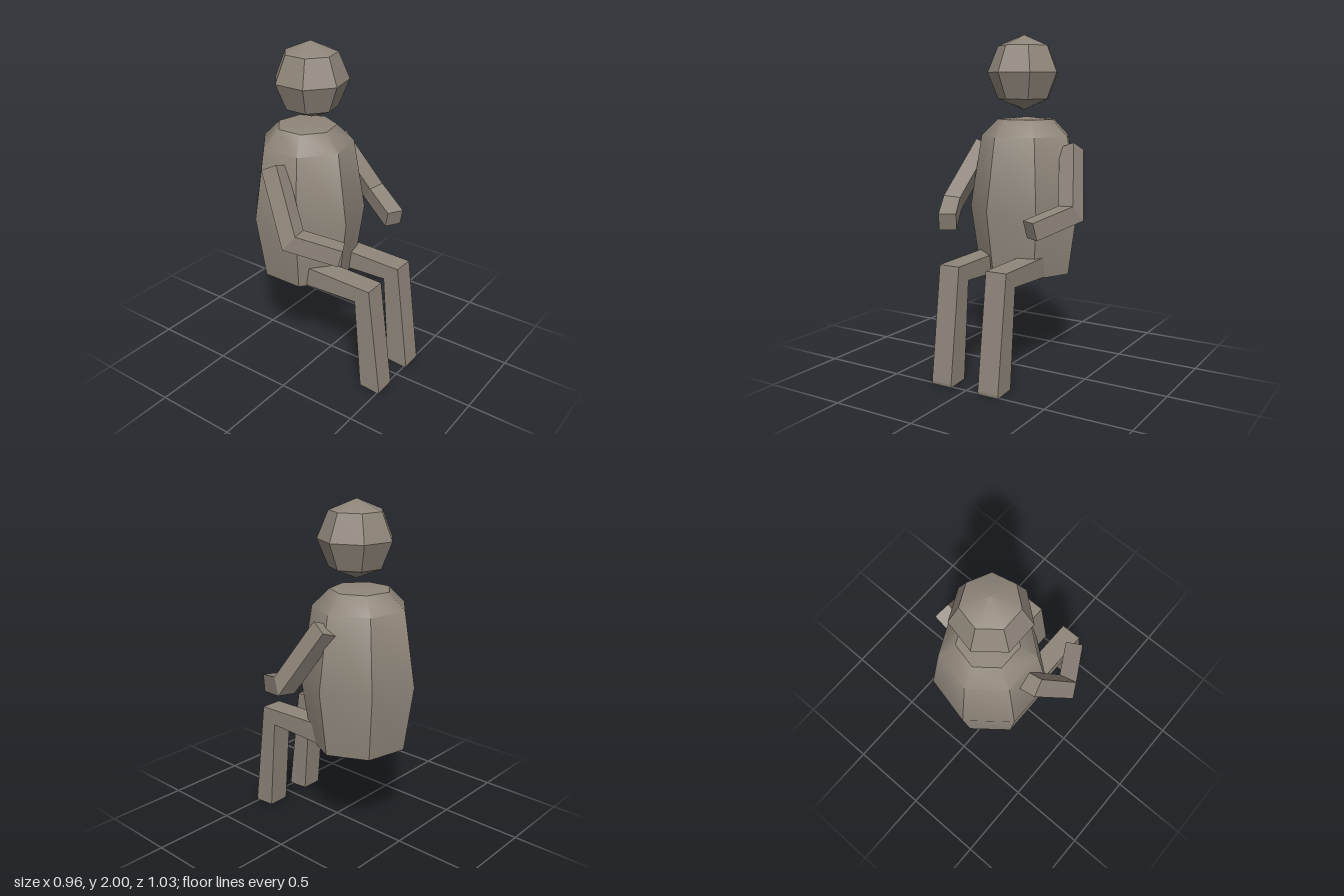
import * as THREE from 'three';
import { toCreasedNormals } from 'three/addons/utils/BufferGeometryUtils.js';

const CREASE = 0.69; // smooths the shoulders and caps, keeps the facets sharp
const SIDES = 7;

const skin = new THREE.MeshStandardMaterial({ color: 0x8f867a });
const skinFlat = skin.clone();
skinFlat.flatShading = true;

function addMesh(group, name, geometry, material = skinFlat) {
  const mesh = new THREE.Mesh(geometry, material);
  mesh.name = name;
  group.add(mesh);
  return mesh;
}

// Square bar through start, bend and end, with a mitred bend and square-cut ends
function bentBar(start, bend, end, size) {
  const d1 = bend.clone().sub(start).normalize();
  const d2 = end.clone().sub(bend).normalize();
  const mitre = d1.clone().add(d2).normalize();
  const u = new THREE.Vector3(0, 1, 0).cross(d2).normalize();
  const v = d2.clone().cross(u);
  const slide = (p, dir, origin, normal) =>
    p.clone().addScaledVector(dir, origin.clone().sub(p).dot(normal) / dir.dot(normal));

  const rings = [[], [], []];
  for (const [a, b] of [[-1, -1], [1, -1], [1, 1], [-1, 1]]) {
    const tip = end.clone().addScaledVector(u, a * size / 2).addScaledVector(v, b * size / 2);
    const mid = slide(tip, d2, bend, mitre);
    rings[0].push(slide(mid, d1, start, d1));
    rings[1].push(mid);
    rings[2].push(tip);
  }

  const positions = [];
  const quad = (a, b, c, d) => {
    for (const p of [a, b, c, a, c, d]) positions.push(p.x, p.y, p.z);
  };
  for (let r = 0; r < 2; r++) {
    for (let i = 0; i < 4; i++) {
      const j = (i + 1) % 4;
      quad(rings[r][i], rings[r][j], rings[r + 1][j], rings[r + 1][i]);
    }
  }
  quad(...[...rings[0]].reverse());
  quad(...rings[2]);

  const geometry = new THREE.BufferGeometry();
  geometry.setAttribute('position', new THREE.Float32BufferAttribute(positions, 3));
  geometry.computeVertexNormals();
  return geometry;
}

// Seated leg: side outline in (z, y), extruded across x
function legGeometry(width) {
  const outline = [
    [-0.06, 0.573], [0.33, 0.588], [0.38, 0.01], [0.512, 0],
    [0.515, 0.018], [0.425, 0.685], [-0.06, 0.697],
  ].map(([z, y]) => new THREE.Vector2(z, y));
  const geometry = new THREE.ExtrudeGeometry(new THREE.Shape(outline), {
    depth: width, bevelEnabled: false,
  });
  geometry.translate(0, 0, -width / 2);
  geometry.rotateY(-Math.PI / 2);
  return geometry;
}

export function createModel() {
  const model = new THREE.Group();
  model.name = 'seatedFigure';

  // Torso: seven-sided, widest at the belly
  const profile = [
    [0, 0.535], [0.292, 0.568], [0.348, 0.965], [0.278, 1.4], [0.178, 1.5], [0, 1.515],
  ].map(([r, y]) => new THREE.Vector2(r, y));
  const torso = new THREE.LatheGeometry(profile, SIDES, Math.PI / 2);
  addMesh(model, 'torso', toCreasedNormals(torso, CREASE), skin).position.z = -0.178;

  // Head: floats just above the neck
  const head = new THREE.SphereGeometry(0.222, SIDES, 4);
  head.rotateY(Math.PI);
  addMesh(model, 'head', toCreasedNormals(head, CREASE), skin).position.set(0, 1.778, -0.143);

  // Arms and legs on both sides
  for (const [side, s] of [['left', 1], ['right', -1]]) {
    const arm = bentBar(
      new THREE.Vector3(s * 0.303, 1.33, -0.182),
      new THREE.Vector3(s * 0.411, 0.98, 0.032),
      new THREE.Vector3(s * 0.279, 0.905, 0.272),
      0.104,
    );
    addMesh(model, side + 'Arm', arm);
    addMesh(model, side + 'Leg', legGeometry(0.132)).position.x = s > 0 ? 0.153 : -0.16;
  }

  return model;
}
